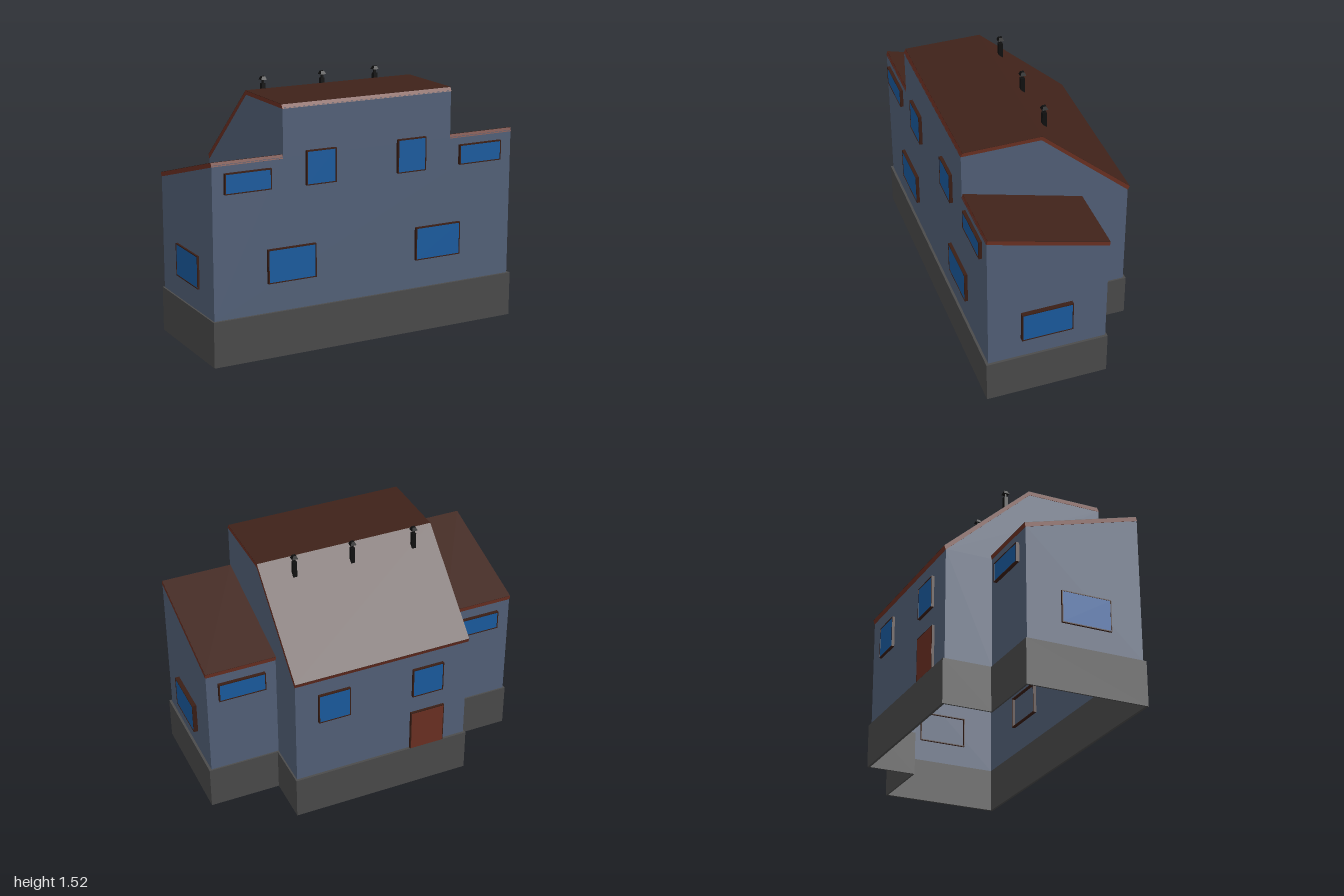
import * as THREE from 'three';

const mat = (color, double) => {
  const m = new THREE.MeshStandardMaterial({ flatShading: true });
  m.color.set(color);
  if (double) m.side = THREE.DoubleSide;
  return m;
};
const wallMat = mat(0x536179, true);
const stoneMat = mat(0x4b4b4b);
const roofMat = mat(0x3f2219);
const trimMat = mat(0x6c3022);
const frameMat = mat(0x3a1e15);
const glassMat = mat(0x1a5ca0);
const doorMat = mat(0x6c3022);
const ironMat = mat(0x111111);

// Main dimensions
const BASE = 0.27, FRONT = 0.505, WING_BACK = -0.215, BACK = -0.505;
const L = -0.99, CL = -0.555, CR = 0.545, R = 0.975;

const toShape = pts => new THREE.Shape(pts.map(p => new THREE.Vector2(p[0], p[1])));

function add(parent, name, geometry, material) {
  const mesh = new THREE.Mesh(geometry, material);
  mesh.name = name;
  parent.add(mesh);
  return mesh;
}

// Flat wall parallel to the front, points are (x, y)
function crossWall(parent, name, pts, z) {
  add(parent, name, new THREE.ShapeGeometry(toShape(pts)), wallMat).position.z = z;
}

// Flat wall parallel to the sides, points are (z, y)
function sideWall(parent, name, pts, x) {
  add(parent, name, new THREE.ShapeGeometry(toShape(pts)).rotateY(-Math.PI / 2), wallMat).position.x = x;
}

// Extrudes a (z, y) profile along x
function sweepX(pts, x0, x1) {
  return new THREE.ExtrudeGeometry(toShape(pts), { depth: x1 - x0, bevelEnabled: false })
    .rotateY(-Math.PI / 2).translate(x1, 0, 0);
}

// Roof slab with a dark covering over its upper line
function roof(parent, name, top, under, x0, x1) {
  const g = new THREE.Group();
  g.name = name;
  add(g, 'roofSlab', sweepX([...top, ...[...under].reverse()], x0, x1), trimMat);
  const lifted = top.map(([z, y]) => [z, y + 0.002]);
  add(g, 'roofCovering', sweepX([...lifted, ...[...top].reverse()], x0, x1), roofMat);
  parent.add(g);
}

// Framed window facing +z, with the wall plane at z = 0
function makeWindow(w, h) {
  const g = new THREE.Group();
  g.name = 'window';
  const rect = (a, b) => [[-a, -b], [a, -b], [a, b], [-a, b]];
  const s = toShape(rect(w / 2, h / 2));
  s.holes.push(toShape(rect(w / 2 - 0.006, h / 2 - 0.006)));
  add(g, 'windowFrame', new THREE.ExtrudeGeometry(s, { depth: 0.04, bevelEnabled: false })
    .translate(0, 0, -0.02), frameMat);
  add(g, 'glass', new THREE.BoxGeometry(w - 0.01, h - 0.01, 0.016), glassMat).position.z = 0.01;
  return g;
}

// Plan outline as (x, -z)
const plan = (l, cl, cr, r, f, wb, b) => [
  [l, -f], [r, -f], [r, -wb], [cr, -wb], [cr, -b], [cl, -b], [cl, -wb], [l, -wb],
];

export function createModel() {
  const house = new THREE.Group();
  house.name = 'house';

  // Foundation, open in the middle
  const ring = toShape(plan(-1, -0.565, 0.555, 0.99, 0.52, -0.225, -0.52));
  ring.holes.push(toShape(plan(L, CL, CR, R, FRONT, WING_BACK, BACK)));
  add(house, 'foundation', new THREE.ExtrudeGeometry(ring, { depth: BASE, bevelEnabled: false })
    .rotateX(-Math.PI / 2), stoneMat);

  // Walls
  const walls = new THREE.Group();
  walls.name = 'walls';
  house.add(walls);
  crossWall(walls, 'frontWall', [[L, BASE], [R, BASE], [R, 1.165], [CR, 1.165], [CR, 1.445],
    [CL, 1.445], [CL, 1.165], [L, 1.165]], FRONT);
  crossWall(walls, 'backWall', [[CL, BASE], [CR, BASE], [CR, 0.96], [CL, 0.96]], BACK);
  for (const [outer, inner] of [[L, CL], [R, CR]]) {
    crossWall(walls, 'wingBackWall', [[outer, BASE], [inner, BASE], [inner, 0.96], [outer, 0.96]], WING_BACK);
    sideWall(walls, 'wingSideWall', [[FRONT, BASE], [FRONT, 1.165], [WING_BACK, 0.96], [WING_BACK, BASE]], outer);
    sideWall(walls, 'middleSideWall', [[FRONT, 1.16], [FRONT, 1.445], [0.035, 1.445], [BACK, 0.955],
      [BACK, BASE], [WING_BACK, BASE], [WING_BACK, 0.955]], inner);
  }

  // Roofs
  roof(house, 'mainRoof', [[0.495, 1.463], [0.03, 1.463], [-0.515, 0.975]],
    [[0.507, 1.44], [0.035, 1.44], [-0.506, 0.95]], CL - 0.002, CR + 0.002);
  const wingTop = [[0.499, 1.18], [-0.22, 0.975]], wingUnder = [[0.507, 1.157], [-0.217, 0.95]];
  roof(house, 'wingRoof', wingTop, wingUnder, L - 0.002, CL);
  roof(house, 'wingRoof', wingTop, wingUnder, CR, R + 0.002);

  // Windows: side offset, height, width, height, wall plane, turn
  const place = (x, y, z, w, h, turn) => {
    const win = makeWindow(w, h);
    win.position.set(x, y, z);
    win.rotation.y = turn;
    house.add(win);
  };
  for (const [x, y, w, h] of [
    [-0.777, 1.055, 0.285, 0.12], [0.75, 1.055, 0.29, 0.12],
    [-0.32, 1.09, 0.19, 0.2], [0.275, 1.09, 0.19, 0.2],
    [-0.507, 0.545, 0.305, 0.2], [0.463, 0.545, 0.305, 0.2],
  ]) place(x, y, FRONT, w, h, 0);
  for (const x of [-0.765, 0.76]) place(x, 0.83, WING_BACK, 0.29, 0.12, Math.PI);
  for (const x of [-0.295, 0.305]) place(x, 0.757, -0.502, 0.2, 0.197, Math.PI);
  for (const s of [-1, 1]) place(s * 0.982, 0.503, 0.153, 0.31, 0.195, s * Math.PI / 2);

  // Back door
  const door = new THREE.Group();
  door.name = 'door';
  add(door, 'doorFrame', new THREE.BoxGeometry(0.22, 0.268, 0.03), frameMat);
  add(door, 'doorPanel', new THREE.BoxGeometry(0.208, 0.262, 0.03), doorMat).position.set(0, -0.003, -0.001);
  door.position.set(-0.298, 0.404, -0.505);
  house.add(door);

  // Chimney pipes
  for (const x of [-0.405, -0.013, 0.35]) {
    const pipe = new THREE.Group();
    pipe.name = 'chimney';
    add(pipe, 'chimneyPost', new THREE.BoxGeometry(0.025, 0.13, 0.025), ironMat).position.y = 1.415;
    add(pipe, 'chimneyNeck', new THREE.BoxGeometry(0.012, 0.03, 0.012), ironMat).position.y = 1.493;
    add(pipe, 'chimneyCap', new THREE.CylinderGeometry(0.014, 0.026, 0.02, 4)
      .rotateY(Math.PI / 4), ironMat).position.y = 1.512;
    pipe.position.set(x, 0, -0.052);
    house.add(pipe);
  }
  return house;
}
